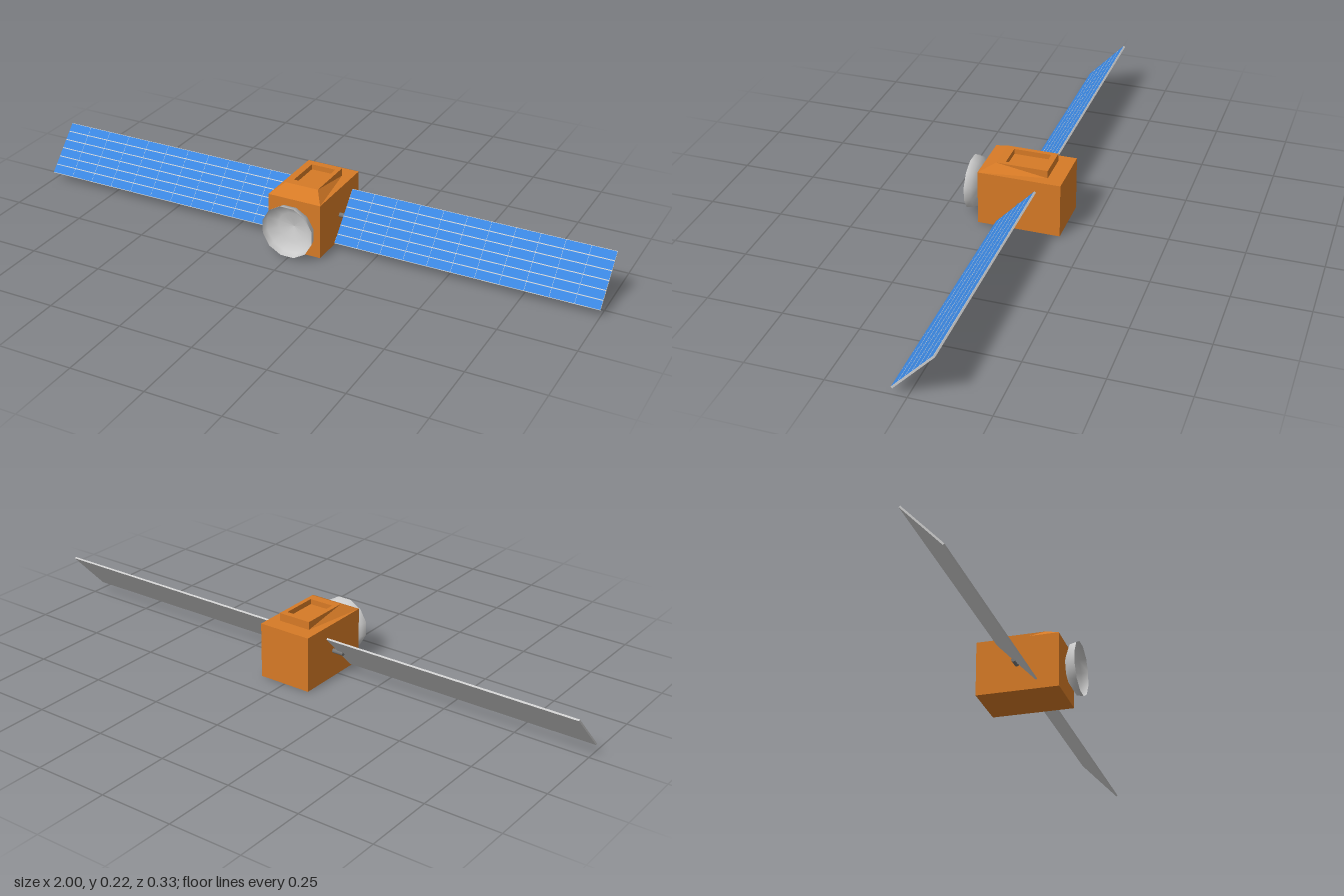
import * as THREE from 'three';

const mat = (color, extra = {}) => new THREE.MeshStandardMaterial({ color, ...extra });
const foil = mat(0xd67a26, { flatShading: true });
const grey = mat(0xcccccc);
const darkGrey = mat(0x777777);
const blue = mat(0x3a86e0);

function add(parent, name, geometry, material, x = 0, y = 0, z = 0) {
  const mesh = new THREE.Mesh(geometry, material);
  mesh.name = name;
  mesh.position.set(x, y, z);
  parent.add(mesh);
  return mesh;
}

// Raised hatch: rectangular loops joined from the base, over the rim and down into the recess
function hatchGeometry() {
  // [half width front, half width back, y, front z, back z]
  const loops = [
    [0.093, 0.058, 0.188, 0.115, -0.11],
    [0.058, 0.058, 0.215, 0.063, -0.11],
    [0.043, 0.043, 0.215, 0.035, -0.09],
    [0.043, 0.043, 0.197, 0.035, -0.09],
  ].map(([wf, wb, y, f, b]) => [[wf, y, f], [wb, y, b], [-wb, y, b], [-wf, y, f]]);
  const pos = [];
  const tri = (...corners) => corners.forEach((c) => pos.push(...c));
  for (let k = 0; k < loops.length - 1; k++) {
    for (let i = 0; i < 4; i++) {
      const j = (i + 1) % 4;
      const [a0, a1, b0, b1] = [loops[k][i], loops[k][j], loops[k + 1][i], loops[k + 1][j]];
      if (i === 2) { tri(a0, a1, b1); tri(a0, b1, b0); }
      else { tri(a0, a1, b0); tri(a1, b1, b0); }
    }
  }
  const [p, q, r, s] = loops[3];
  tri(p, q, r);
  tri(p, r, s);
  const g = new THREE.BufferGeometry();
  g.setAttribute('position', new THREE.Float32BufferAttribute(pos, 3));
  g.computeVertexNormals();
  return g;
}

// Solar wing: grey backing plate with a grid of blue cells on its front
function solarWing(side) {
  const wing = new THREE.Group();
  wing.name = side > 0 ? 'leftSolarWing' : 'rightSolarWing';
  const length = 0.89, height = 0.19, thick = 0.006, cols = 11, rows = 6;
  add(wing, 'backingPlate', new THREE.BoxGeometry(length, height, thick), grey);
  const w = length / cols, h = height / rows;
  const cell = new THREE.PlaneGeometry(w - 0.001, h - 0.003);
  for (let c = 0; c < cols; c++) {
    for (let r = 0; r < rows; r++) {
      add(wing, 'solarCell', cell, blue,
        (c + 0.5) * w - length / 2, (r + 0.5) * h - height / 2, thick / 2 + 0.0008);
    }
  }
  wing.position.set(side * (1 - length / 2), 0.093, -0.02);
  wing.rotation.x = -0.756;
  return wing;
}

export function createModel() {
  const model = new THREE.Group();
  model.name = 'satellite';

  // Foil-wrapped body and hatch
  add(model, 'body', new THREE.BoxGeometry(0.186, 0.188, 0.278), foil, 0, 0.094, -0.024);
  add(model, 'hatch', hatchGeometry(), foil);

  // Dish antenna, open to the front
  const profile = [[0, 0], [0.052, 0.009], [0.086, 0.027], [0.091, 0.05]]
    .map(([r, d]) => new THREE.Vector2(r, d));
  const dish = add(model, 'dishAntenna', new THREE.LatheGeometry(profile, 12, Math.PI / 12),
    mat(0xcccccc, { side: THREE.DoubleSide }), 0, 0.095, 0.115);
  dish.rotation.x = Math.PI / 2;

  // Wings and the short struts that carry them
  for (const side of [1, -1]) {
    model.add(solarWing(side));
    const strut = add(model, 'wingStrut', new THREE.CylinderGeometry(0.008, 0.008, 0.045, 8),
      darkGrey, side * 0.11, 0.092, -0.025);
    strut.rotation.z = Math.PI / 2;
  }
  return model;
}
